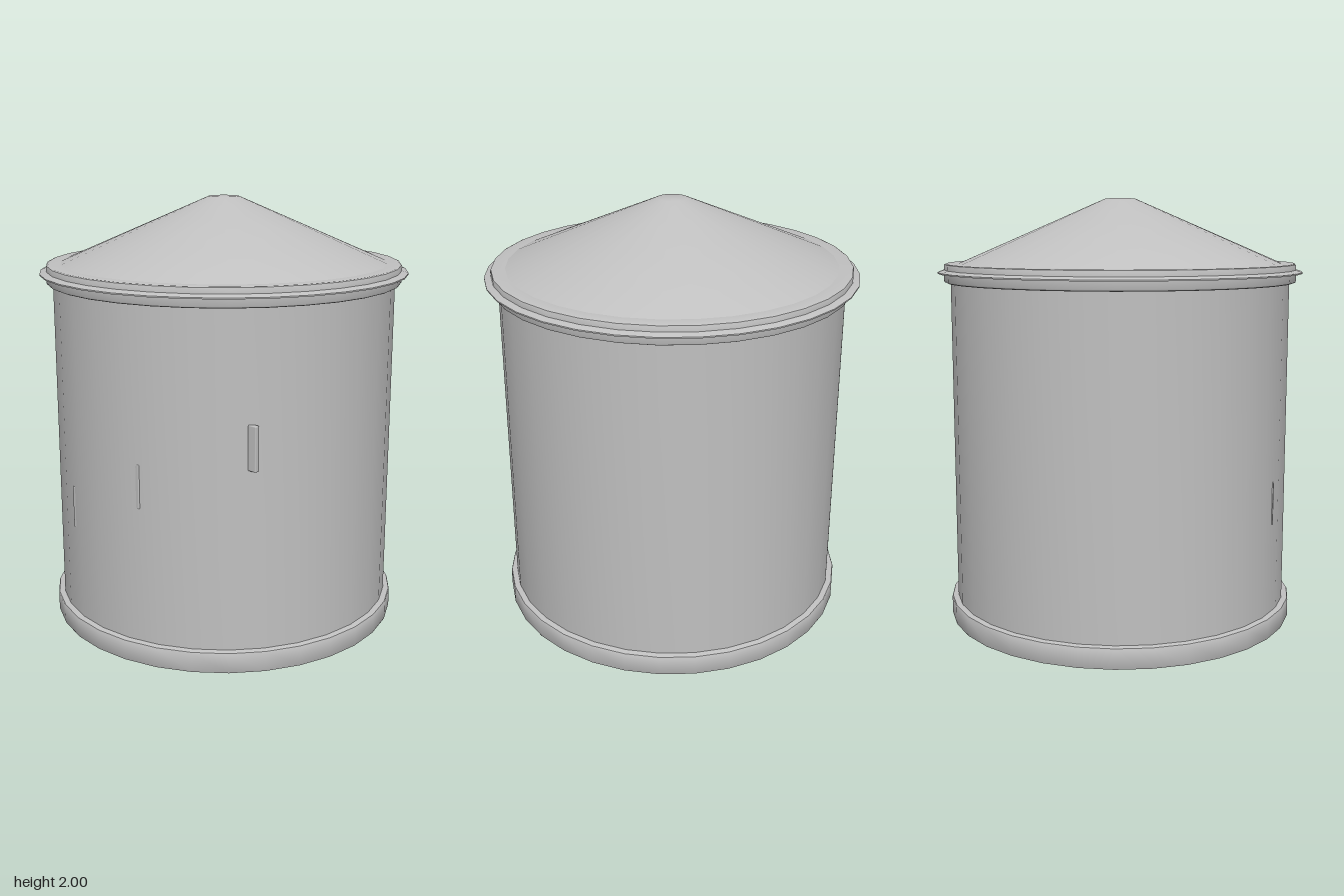
import * as THREE from 'three';
import { toCreasedNormals } from 'three/addons/utils/BufferGeometryUtils.js';
import { RoundedBoxGeometry } from 'three/addons/geometries/RoundedBoxGeometry.js';

const SEGMENTS = 32;

export function createModel() {
  const group = new THREE.Group();
  const metal = new THREE.MeshStandardMaterial({ color: 0xc0c0c0 });
  metal.name = 'grey metal';

  // Turned part from [radius, height] pairs, listed bottom to top
  const turned = (name, profile) => {
    const points = profile.map(([r, y]) => new THREE.Vector2(r, y));
    const geometry = toCreasedNormals(new THREE.LatheGeometry(points, SEGMENTS), 0.5);
    const mesh = new THREE.Mesh(geometry, metal);
    mesh.name = name;
    group.add(mesh);
  };

  // Rounded band closed between the inner and outer radius
  const band = (name, inner, outer, y0, y1, b = 0.01) => turned(name, [
    [inner, y0], [outer - b, y0], [outer - b * 0.3, y0 + b * 0.3], [outer, y0 + b],
    [outer, y1 - b], [outer - b * 0.3, y1 - b * 0.3], [outer - b, y1], [inner, y1],
  ]);

  band('base', 0, 0.83, 0, 0.1);
  turned('tankWall', [[0.8, 0.09], [0.8, 1.63]]);
  band('topBand', 0.76, 0.83, 1.612, 1.7);

  // Thin sloping drip edge around the top band
  turned('dripEdge', [[0.815, 1.664], [0.86, 1.655], [0.86, 1.661], [0.815, 1.677]]);

  // Shallow conical roof with a small flat crown
  turned('roof', [[0.77, 1.697], [0.07, 2], [0, 2]]);

  // Upright tabs stepping down around the front, mostly sunk in the wall
  const tabs = [[0.637, 1.02, 0.493], [0.203, 0.82, 0.757], [-0.203, 0.62, 0.757]];
  for (const [x, y, z] of tabs) {
    const tab = new THREE.Mesh(new RoundedBoxGeometry(0.045, 0.2, 0.024, 2, 0.005), metal);
    tab.name = 'tab';
    tab.position.set(x, y, z);
    group.add(tab);
  }
  return group;
}
